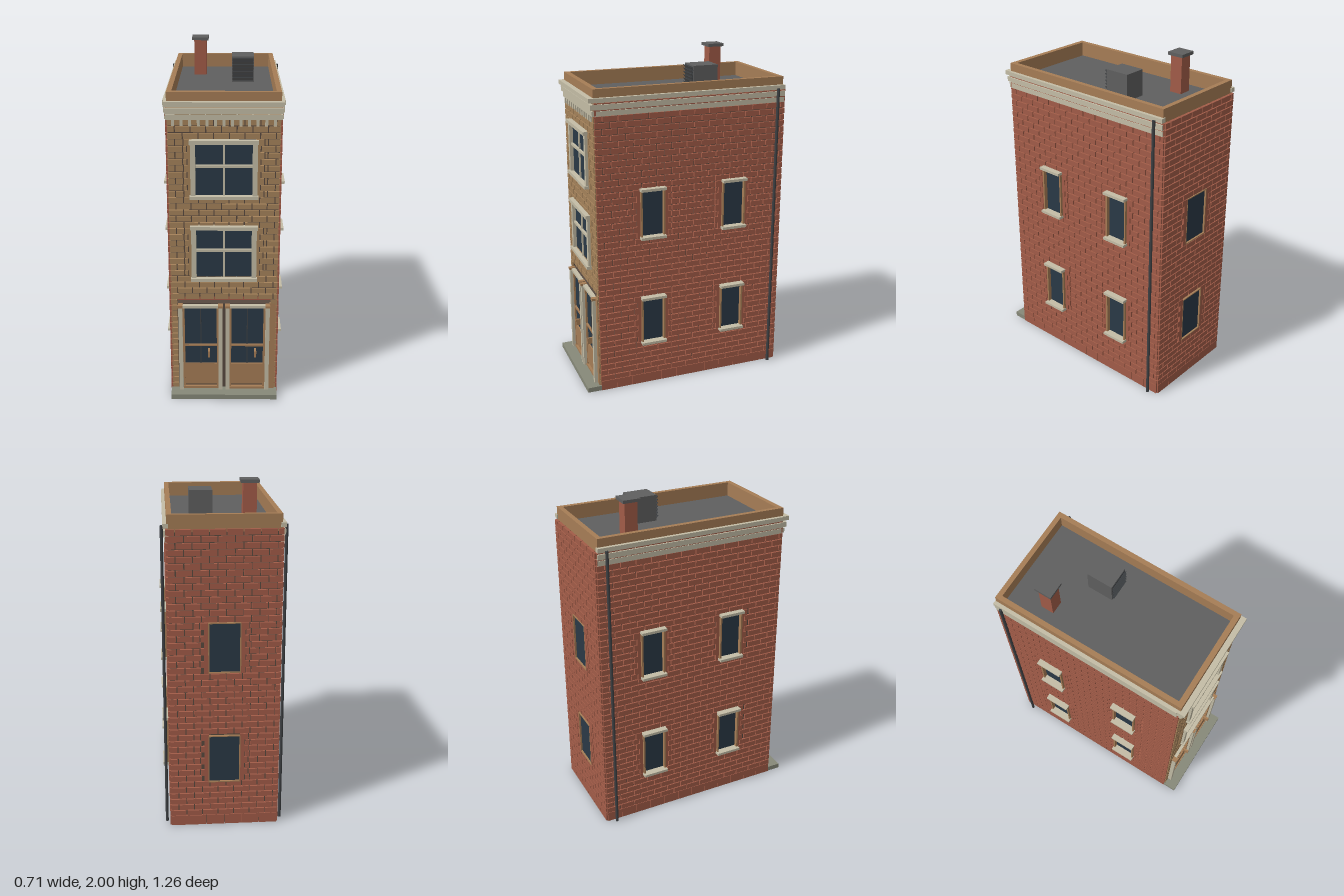
import * as THREE from 'three';
import { mergeGeometries } from 'three/addons/utils/BufferGeometryUtils.js';

const mat = (name, color) => {
  const m = new THREE.MeshStandardMaterial({ color });
  m.name = name;
  return m;
};

export function createModel() {
  const M = {
    red: mat('redBrick', 0xa25c48),
    tan: mat('tanBrick', 0xa5825a),
    wood: mat('tanWood', 0xa67d56),
    cream: mat('creamStone', 0xc4bda6),
    glass: mat('darkGlass', 0x2a3946),
    roof: mat('roofGrey', 0x5f5f5f),
    metal: mat('darkMetal', 0x3e4144),
    mortar: mat('mortar', 0x57493f),
    stone: mat('stepStone', 0x878979),
    floor: mat('floorGrey', 0x7d766c),
  };
  const model = new THREE.Group();
  model.name = 'townhouse';

  // Box geometry given by its low and high corners
  const boxGeo = (x0, x1, y0, y1, z0, z1) =>
    new THREE.BoxGeometry(x1 - x0, y1 - y0, z1 - z0)
      .translate((x0 + x1) / 2, (y0 + y1) / 2, (z0 + z1) / 2);
  const box = (parent, name, m, ...ext) => {
    const mesh = new THREE.Mesh(boxGeo(...ext), m);
    mesh.name = name;
    parent.add(mesh);
    return mesh;
  };
  const group = (name, parent = model) => {
    const g = new THREE.Group();
    g.name = name;
    parent.add(g);
    return g;
  };

  // Running-bond bricks on a wall plane, cut around openings [u0, u1, v0, v1, toothed]
  function bricks(wall, m, u0, u1, v0, v1, depth, openings, length) {
    const course = 0.0375, joint = 0.006, geos = [];
    const rows = Math.round((v1 - v0) / course), h = (v1 - v0) / rows;
    for (let r = 0; r < rows; r++) {
      const a = v0 + r * h, b = a + h, mid = (a + b) / 2;
      const tooth = r % 2 ? 0.045 : 0.025;
      const cuts = [];
      for (const [o0, o1, p0, p1, toothed] of openings) {
        if (mid < p0 || mid > p1) continue;
        const t = toothed ? tooth : 0;
        cuts.push([o0 - t - joint, o1 + t + joint]);
        if (toothed) {
          geos.push(boxGeo(o0 - t, o0, a, b, -0.004, depth + 0.001));
          geos.push(boxGeo(o1, o1 + t, a, b, -0.004, depth + 0.001));
        }
      }
      for (let s = u0 - (r % 2 ? length / 2 : 0); s < u1; s += length) {
        let parts = [[Math.max(s, u0), Math.min(s + length - joint, u1)]];
        for (const [c0, c1] of cuts)
          parts = parts.flatMap(([p, q]) =>
            q <= c0 || p >= c1 ? [[p, q]] : [[p, Math.min(q, c0)], [Math.max(p, c1), q]]);
        for (const [p, q] of parts)
          if (q - p > 0.006) geos.push(boxGeo(p, q, a + joint / 2, b - joint / 2, -0.004, depth));
      }
    }
    const mesh = new THREE.Mesh(mergeGeometries(geos), m);
    mesh.name = 'bricks';
    wall.add(mesh);
  }

  // Taller base course
  function baseCourse(wall, u0, u1, depth) {
    const n = Math.round((u1 - u0) / 0.1), w = (u1 - u0) / n;
    for (let i = 0; i < n; i++)
      box(wall, 'baseBrick', M.red, u0 + i * w + 0.001, u0 + (i + 1) * w - 0.001, 0, 0.06, -0.004, depth);
  }

  // Solid core with a shallow recess above the shopfront, floor and roof
  const core = group('wallCore');
  box(core, 'lowerCore', M.mortar, -0.305, 0.305, 0.004, 0.594, -0.62, 0.54);
  box(core, 'middleCore', M.mortar, -0.305, 0.305, 0.594, 0.638, -0.62, 0.49);
  for (const s of [-1, 1])
    box(core, 'recessEnd', M.mortar, s < 0 ? -0.305 : 0.272, s < 0 ? -0.272 : 0.305, 0.594, 0.638, 0.49, 0.54);
  box(core, 'upperCore', M.mortar, -0.305, 0.305, 0.638, 1.755, -0.62, 0.54);
  box(model, 'floor', M.floor, -0.305, 0.305, 0, 0.004, -0.62, 0.54);
  box(model, 'roofDeck', M.roof, -0.3, 0.3, 1.75, 1.765, -0.61, 0.535);

  // Parapet
  const parapet = group('parapet');
  for (const s of [-1, 1])
    box(parapet, 'parapetSide', M.wood, s < 0 ? -0.31 : 0.282, s < 0 ? -0.282 : 0.31, 1.75, 1.85, -0.616, 0.548);
  box(parapet, 'parapetFront', M.wood, -0.282, 0.282, 1.75, 1.85, 0.517, 0.548);
  box(parapet, 'parapetBack', M.wood, -0.282, 0.282, 1.75, 1.85, -0.616, -0.588);

  // Cornice bands along front and sides, with brick showing between them
  const cornice = group('cornice');
  const bands = [[1.7, 1.729, 0.322, 0.558], [1.736, 1.766, 0.327, 0.568], [1.777, 1.802, 0.331, 0.58]];
  for (const [y0, y1, x, z] of bands) {
    for (const s of [-1, 1])
      box(cornice, 'corniceSide', M.cream, s < 0 ? -x : 0.3, s < 0 ? -0.3 : x, y0, y1, -0.622, 0.535);
    box(cornice, 'corniceFront', M.cream, -x + 0.006, x - 0.006, y0, y1, 0.53, z);
  }
  for (let i = 0; i < 13; i++) {
    const x = -0.276 + i * 0.046;
    box(cornice, 'dentil', M.cream, x - 0.008, x + 0.008, 1.665, 1.7, 0.535, 0.558);
  }

  // Side walls: windows with lintel, sill and jambs
  const levels = [[0.28, 0.57], [0.96, 1.25]];
  for (const s of [1, -1]) {
    const wall = group(s > 0 ? 'leftWall' : 'rightWall');
    wall.position.x = s * 0.305;
    wall.rotation.y = s * Math.PI / 2;
    const u0 = s > 0 ? -0.545 : -0.625, u1 = s > 0 ? 0.625 : 0.545;
    const open = [];
    for (const z of [0.21, -0.305]) for (const [y0, y1] of levels) {
      const c = -s * z, w = 0.07;
      open.push([c - w, c + w, y0, y1, true]);
      const win = group('sideWindow', wall);
      box(win, 'windowGlass', M.glass, c - w, c + w, y0, y1, -0.003, 0.004);
      for (const k of [-1, 1])
        box(win, 'windowJamb', M.wood, c + k * w - 0.005, c + k * w + 0.005, y0, y1, 0, 0.028);
      box(win, 'windowLintel', M.cream, c - 0.078, c + 0.078, y1 - 0.004, y1 + 0.012, 0, 0.048);
      box(win, 'windowSill', M.cream, c - 0.078, c + 0.078, y0 - 0.008, y0 + 0.008, 0, 0.048);
    }
    bricks(wall, M.red, u0, u1, 0.06, 1.775, 0.013, open, 0.092);
    baseCourse(wall, u0, u1, 0.013);

    // Drainpipe
    const pipe = new THREE.Mesh(new THREE.CylinderGeometry(0.009, 0.009, 1.785, 10), M.metal);
    pipe.name = 'drainpipe';
    pipe.position.set(s * 0.337, 0.8925, -0.573);
    model.add(pipe);
  }

  // Back wall with two plain windows
  const back = group('backWall');
  back.position.z = -0.62;
  back.rotation.y = Math.PI;
  for (const [y0, y1] of levels) {
    box(back, 'backGlass', M.glass, -0.09, 0.09, y0, y1, -0.003, 0.004);
    for (const k of [-1, 1])
      box(back, 'backJamb', M.wood, k * 0.089 - 0.003, k * 0.089 + 0.003, y0, y1, 0, 0.015);
    for (const y of [y0, y1])
      box(back, 'backRail', M.wood, -0.092, 0.092, y - 0.003, y + 0.003, 0, 0.015);
  }
  bricks(back, M.red, -0.31, 0.31, 0.06, 1.775, 0.013, levels.map(([a, b]) => [-0.09, 0.09, a, b, true]), 0.092);
  baseCourse(back, -0.31, 0.31, 0.013);

  // Front wall and its two large windows
  const front = group('frontWall');
  front.position.z = 0.54;
  const frontLevels = [[0.755, 1.085], [1.255, 1.585]];
  bricks(front, M.tan, -0.308, 0.308, 0.03, 1.775, 0.01,
    [...frontLevels.map(([a, b]) => [-0.175, 0.175, a, b, true]), [-0.266, 0.266, 0, 0.638, false]], 0.085);
  for (const [y0, y1] of frontLevels) {
    const win = group('frontWindow', front), mid = y0 + 0.182;
    box(win, 'frontGlass', M.glass, -0.17, 0.17, y0, y1, -0.003, 0.005);
    for (const k of [-1, 1])
      box(win, 'frontJamb', M.cream, k * 0.171 - 0.014, k * 0.171 + 0.014, y0, y1, 0, 0.027);
    box(win, 'frontLintel', M.cream, -0.19, 0.19, y1 - 0.018, y1 + 0.003, 0, 0.038);
    box(win, 'frontSill', M.cream, -0.19, 0.19, y0 - 0.005, y0 + 0.014, 0, 0.038);
    box(win, 'mullion', M.cream, -0.006, 0.006, y0, y1, 0, 0.014);
    box(win, 'meetingRail', M.cream, -0.16, 0.16, mid - 0.008, mid + 0.008, 0, 0.018);
  }

  // Shopfront: recessed header, pilaster and two pairs of glazed doors
  const shop = group('shopfront', front);
  box(shop, 'header', M.red, -0.272, 0.272, 0.594, 0.638, -0.052, -0.042);
  box(shop, 'pilaster', M.wood, 0.265, 0.3, 0.03, 0.6, -0.004, 0.014);
  for (const s of [-1, 1]) {
    const c = s * 0.137, door = group('doors', shop);
    for (const x of [s * 0.02, s * 0.255]) {
      box(door, 'column', M.cream, x - 0.012, x + 0.012, 0.03, 0.585, 0, 0.034);
      box(door, 'capital', M.wood, x - 0.014, x + 0.014, 0.58, 0.594, 0, 0.038);
    }
    box(door, 'doorHead', M.cream, c - 0.11, c + 0.11, 0.574, 0.59, 0, 0.026);
    box(door, 'doorGlass', M.glass, c - 0.106, c + 0.106, 0.2, 0.575, -0.003, 0.005);
    box(door, 'doorPanel', M.wood, c - 0.1, c + 0.1, 0.06, 0.2, 0, 0.014);
    box(door, 'threshold', M.wood, c - 0.106, c + 0.106, 0.03, 0.044, 0, 0.02);
    for (const k of [-1, 1])
      box(door, 'doorStile', M.wood, c + k * 0.1 - 0.006, c + k * 0.1 + 0.006, 0.03, 0.575, 0, 0.016);
    box(door, 'doorRail', M.wood, c - 0.1, c + 0.1, 0.318, 0.33, 0, 0.016);
    box(door, 'doorGap', M.metal, c - 0.003, c + 0.003, 0.2, 0.575, 0, 0.009);
    box(door, 'doorHandle', M.wood, c + 0.042, c + 0.054, 0.26, 0.3, 0, 0.048);
  }

  // Front step
  box(model, 'frontStep', M.stone, -0.315, 0.315, 0, 0.03, 0.535, 0.63);

  // Chimney
  const chimney = group('chimney');
  box(chimney, 'chimneyStack', M.red, -0.193, -0.117, 1.76, 1.985, -0.403, -0.327);
  box(chimney, 'chimneyCap', M.roof, -0.206, -0.104, 1.982, 2, -0.416, -0.314);

  // Roof vent with grey louvres that are dark on top
  const vent = group('roofVent');
  box(vent, 'ventBox', M.roof, 0.043, 0.176, 1.76, 1.92, -0.253, -0.1);
  box(vent, 'ventFace', M.metal, 0.05, 0.169, 1.775, 1.912, -0.101, -0.098);
  const slatMats = [M.metal, M.metal, M.metal, M.metal, M.roof, M.metal];
  for (let i = 0; i < 7; i++) {
    const slat = box(vent, 'louvre', slatMats, -0.062, 0.062, -0.011, 0.011, -0.001, 0.001);
    slat.position.set(0.109, 1.786 + i * 0.0195, -0.094);
    slat.rotation.x = 0.65;
  }

  return model;
}
